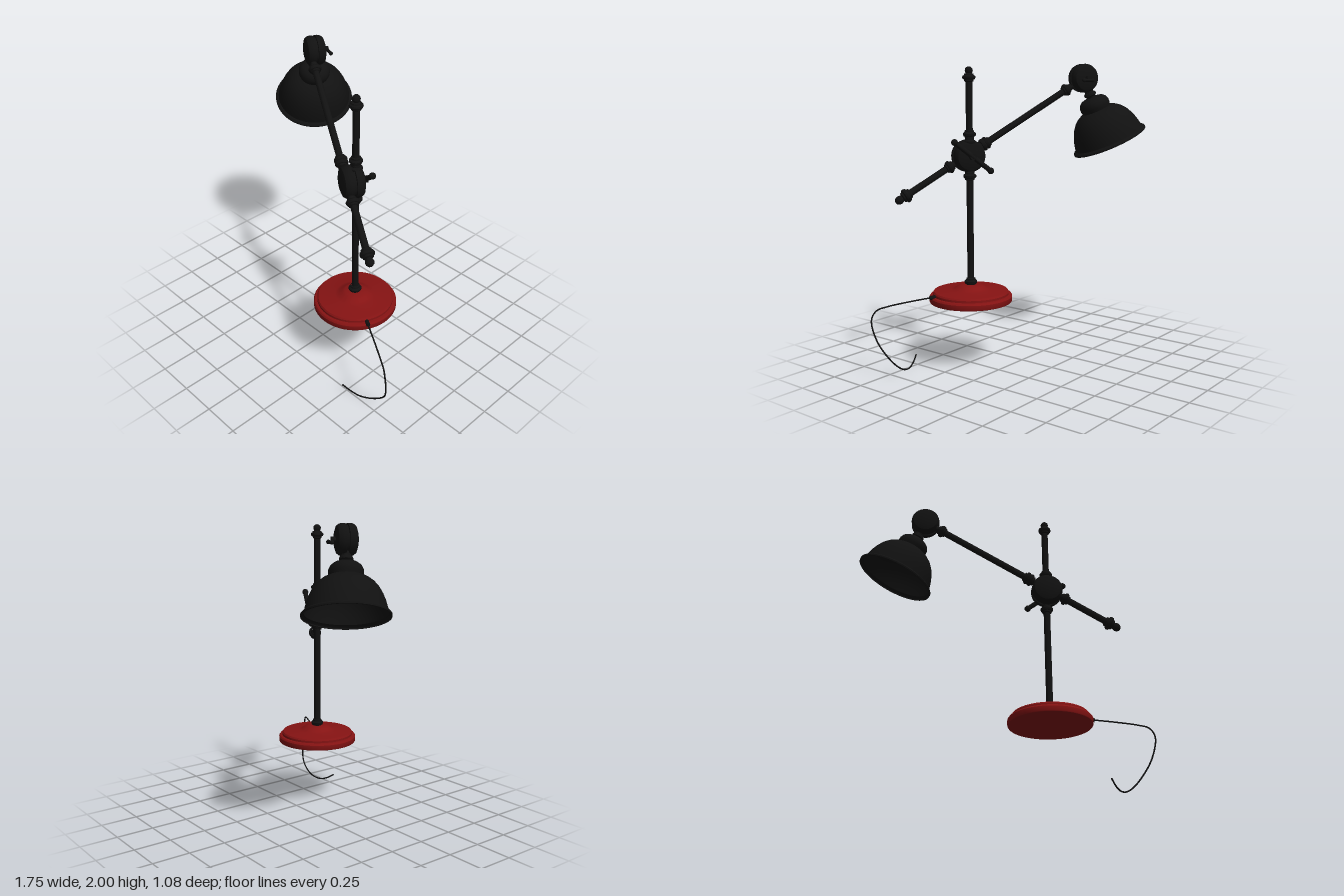
import * as THREE from 'three';
import { toCreasedNormals } from 'three/addons/utils/BufferGeometryUtils.js';

const V = (x, y, z) => new THREE.Vector3(x, y, z);
const UP = V(0, 1, 0);
const black = new THREE.MeshStandardMaterial({ color: 0x111111 });
const blackOpen = new THREE.MeshStandardMaterial({ color: 0x111111, side: THREE.DoubleSide });
const red = new THREE.MeshStandardMaterial({ color: 0x851313 });

// Turned part: profile is [radius, height] pairs from bottom to top
function turned(name, profile, mat = black, segments = 40) {
  const pts = profile.map(([r, y]) => new THREE.Vector2(r, y));
  const geo = toCreasedNormals(new THREE.LatheGeometry(pts, segments), 0.6);
  const mesh = new THREE.Mesh(geo, mat);
  mesh.name = name;
  return mesh;
}

// Group whose local y axis runs along dir, starting at origin
function axisGroup(name, origin, dir) {
  const g = new THREE.Group();
  g.name = name;
  g.position.copy(origin);
  g.quaternion.setFromUnitVectors(UP, dir.clone().normalize());
  return g;
}

function rod(name, radius, y0, y1) {
  return turned(name, [[0, y0], [radius, y0], [radius, y1], [0, y1]], black, 20);
}

// Double-ringed collar, centred at height y
function collar(y) {
  const p = [[0.022, -0.028], [0.03, -0.024], [0.03, -0.014], [0.037, -0.012], [0.042, -0.004],
    [0.042, 0.006], [0.036, 0.013], [0.03, 0.015], [0.03, 0.025], [0.022, 0.028]];
  const m = turned('collar', p);
  m.position.y = y;
  return m;
}

// Turned knob whose tip is at y = 0 and which grows along +y
function finial(name) {
  return turned(name, [[0, 0], [0.013, 0.003], [0.023, 0.013], [0.026, 0.025], [0.023, 0.036],
    [0.019, 0.043], [0.03, 0.047], [0.032, 0.055], [0.041, 0.06], [0.043, 0.07], [0.038, 0.08],
    [0.03, 0.083], [0.03, 0.092], [0.022, 0.098]]);
}

// Clamp drum made of two rounded halves with a groove between them
function drum(name, r, half) {
  const side = [[0, half], [r * 0.6, half], [r * 0.86, half * 0.86], [r * 0.97, half * 0.62],
    [r, half * 0.4], [r, half * 0.12], [r * 0.88, half * 0.1]];
  const bottom = side.map(([x, y]) => [x, -y]);
  return turned(name, [...bottom, ...side.reverse()]);
}

// Bar with a ball at each end
function tBar(name, a, b, r) {
  const g = axisGroup(name, a, b.clone().sub(a));
  const len = a.distanceTo(b);
  g.add(rod('handleBar', r, 0, len));
  for (const y of [0, len]) {
    const ball = new THREE.Mesh(new THREE.SphereGeometry(r * 1.35, 20, 14), black);
    ball.name = 'handleKnob';
    ball.position.y = y;
    g.add(ball);
  }
  return g;
}

export function createModel() {
  const lamp = new THREE.Group();
  lamp.name = 'deskLamp';
  const clampAxis = V(-0.467, 0, 0.884);

  // Base and upright pole
  const stand = new THREE.Group();
  stand.name = 'stand';
  stand.position.set(0.28, 0, 0.21);
  stand.add(turned('base', [[0, 0.447], [0.27, 0.447], [0.273, 0.452], [0.273, 0.482], [0.266, 0.492],
    [0.25, 0.494], [0.25, 0.508], [0.243, 0.518], [0.225, 0.521], [0.13, 0.527], [0.105, 0.534],
    [0.085, 0.55], [0.065, 0.558], [0, 0.558]], red, 72));
  stand.add(rod('pole', 0.022, 0.55, 1.9));
  for (const y of [0.575, 1.275, 1.325, 1.495, 1.545]) stand.add(collar(y));
  const top = finial('poleFinial');
  top.rotation.x = Math.PI;
  top.position.y = 1.975;
  stand.add(top);
  lamp.add(stand);

  // Slanted arm running past the pole
  const tip = V(0.68, 1.122, 0.483);
  const arm = axisGroup('arm', tip, V(-1.06, 0.7, -0.56));
  arm.add(rod('armRod', 0.022, 0.06, 1.44));
  for (const y of [0.42, 0.69, 0.715, 1.395]) arm.add(collar(y));
  const end = finial('armFinial');
  end.scale.set(1.08, 1.2, 1.08);
  arm.add(end);
  lamp.add(arm);

  // Clamp where arm and pole cross, with its tightening handle
  const hub = axisGroup('centreClamp', V(0.268, 1.405, 0.232), clampAxis);
  hub.add(drum('clampDrum', 0.105, 0.07), rod('clampScrew', 0.022, -0.1, 0));
  lamp.add(hub);
  lamp.add(tBar('clampHandle', V(0.2, 1.31, 0.1), V(0.42, 1.5, 0.212), 0.016));

  // Swivel joint at the top of the arm
  const pivot = V(-0.475, 1.905, -0.16);
  const joint = axisGroup('shadeJoint', pivot, clampAxis);
  joint.add(drum('jointDrum', 0.096, 0.064), rod('jointScrew', 0.018, -0.09, 0));
  lamp.add(joint);
  lamp.add(tBar('jointHandle', V(-0.455, 1.89, -0.25), V(-0.39, 1.89, -0.224), 0.01));

  // Neck and bell-shaped shade, tilted down and away from the arm
  const shade = axisGroup('shade', pivot, V(-0.158, -0.44, -0.125));
  shade.add(rod('neck', 0.028, 0.05, 0.17));
  shade.add(collar(0.12));
  shade.add(turned('shadeCap', [[0, 0.142], [0.045, 0.144], [0.075, 0.152], [0.094, 0.168],
    [0.104, 0.19], [0.104, 0.212], [0.097, 0.23], [0.094, 0.245], [0, 0.245]], black, 56));
  shade.add(turned('shadeBell', [[0.09, 0.232], [0.115, 0.238], [0.145, 0.254], [0.172, 0.277],
    [0.196, 0.308], [0.215, 0.345], [0.23, 0.385], [0.24, 0.425], [0.245, 0.45], [0.258, 0.456],
    [0.265, 0.464], [0.264, 0.473], [0.256, 0.474]], blackOpen, 72));
  lamp.add(shade);

  // Power cord hanging from the base
  const path = new THREE.CatmullRomCurve3([
    V(0.51, 0.497, 0.33), V(0.65, 0.483, 0.41), V(0.775, 0.465, 0.483), V(0.835, 0.446, 0.517),
    V(0.865, 0.39, 0.533), V(0.848, 0.25, 0.505), V(0.775, 0.11, 0.457), V(0.68, 0.03, 0.457),
    V(0.6, 0.009, 0.48), V(0.54, 0.026, 0.502), V(0.485, 0.062, 0.527)]);
  const cord = new THREE.Mesh(new THREE.TubeGeometry(path, 120, 0.005, 10), blackOpen);
  cord.name = 'cord';
  lamp.add(cord);
  const plug = axisGroup('cordGrommet', V(0.495, 0.498, 0.32), V(0.14, -0.014, 0.08));
  plug.add(rod('grommet', 0.013, 0, 0.045));
  lamp.add(plug);

  return lamp;
}
